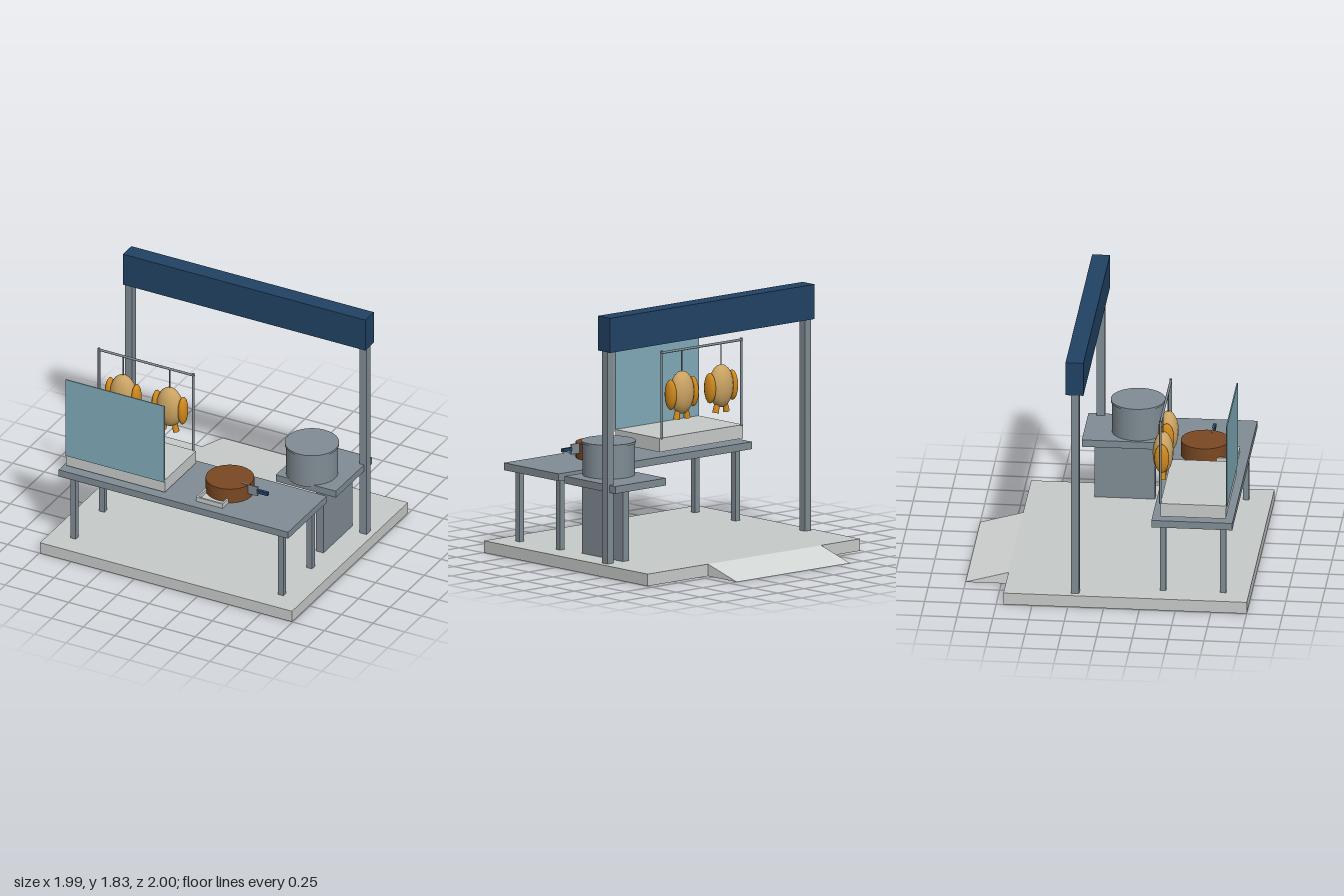
import * as THREE from 'three';

function material(name, color, side = THREE.FrontSide) {
  const m = new THREE.MeshStandardMaterial({ color, side });
  m.name = name;
  return m;
}

export function createModel() {
  const model = new THREE.Group();
  model.name = 'foodStall';
  const stone = material('pale stone', 0xc6cac8);
  const rampGrey = material('light ramp grey', 0xd2d6d4);
  const steel = material('steel', 0x808c94);
  const navy = material('navy', 0x214264);
  const glass = material('glass blue', 0x80aab8);
  const wood = material('brown wood', 0x7a4823);
  const roast = material('roast tan', 0xcba462);
  const orange = material('roast orange', 0xd18a1c);

  function add(name, geometry, mat, parent = model, x = 0, y = 0, z = 0) {
    const mesh = new THREE.Mesh(geometry, mat);
    mesh.name = name;
    mesh.position.set(x, y, z);
    parent.add(mesh);
    return mesh;
  }
  // Box given by its minimum and maximum on each axis
  function box(name, mat, x0, x1, y0, y1, z0, z1, parent = model) {
    return add(name, new THREE.BoxGeometry(x1 - x0, y1 - y0, z1 - z0), mat, parent,
      (x0 + x1) / 2, (y0 + y1) / 2, (z0 + z1) / 2);
  }
  function cylinder(name, mat, rTop, rBottom, x, y0, y1, z, sides, parent = model) {
    return add(name, new THREE.CylinderGeometry(rTop, rBottom, y1 - y0, sides), mat, parent, x, (y0 + y1) / 2, z);
  }

  // Platform with a wedge ramp at the back
  box('platform', stone, -0.995, 0.995, 0, 0.085, -0.7, 1);
  const wedge = new THREE.Shape();
  wedge.moveTo(0.7, 0);
  wedge.lineTo(1, 0);
  wedge.lineTo(0.7, 0.085);
  const rampGeometry = new THREE.ExtrudeGeometry(wedge, { depth: 1.06, bevelEnabled: false });
  rampGeometry.rotateY(Math.PI / 2); // profile now runs towards -z
  add('ramp', rampGeometry, rampGrey, model, -0.63, 0, 0);

  // Overhead sign beam on two posts
  for (const x of [-0.928, 0.922]) box('signPost', steel, x - 0.028, x + 0.028, 0.085, 1.59, -0.232, -0.175);
  box('signBeam', navy, -0.957, 0.957, 1.585, 1.83, -0.27, -0.145);

  // Front counter
  box('counterTop', steel, -0.907, 0.905, 0.588, 0.64, 0.325, 0.89);
  for (const x of [-0.82, 0.82]) {
    for (const z of [0.4, 0.82]) box('counterLeg', steel, x - 0.021, x + 0.021, 0.085, 0.59, z - 0.021, z + 0.021);
  }

  // Side counter on a slab support
  box('sideCounterTop', steel, 0.455, 0.93, 0.588, 0.64, -0.293, 0.235);
  box('sideSupport', steel, 0.75, 0.807, 0.085, 0.59, -0.235, 0.19);

  // Lidded stock pot
  const pot = new THREE.Group();
  pot.name = 'stockPot';
  model.add(pot);
  cylinder('potBody', steel, 0.183, 0.183, 0.657, 0.625, 0.868, 0.08, 32, pot);
  cylinder('potLid', steel, 0.19, 0.19, 0.657, 0.866, 0.881, 0.08, 32, pot);

  // Display case base, glass screen and hanging rack
  box('displayBase', stone, -0.875, -0.095, 0.66, 0.757, 0.385, 0.842);
  box('glassScreen', glass, -0.875, -0.095, 0.742, 1.355, 0.842, 0.85);
  const rack = new THREE.Group();
  rack.name = 'hangingRack';
  model.add(rack);
  for (const x of [-0.861, -0.116]) cylinder('rackPost', steel, 0.009, 0.009, x, 0.75, 1.374, 0.384, 10, rack);
  const bar = cylinder('rackBar', steel, 0.009, 0.009, -0.488, 0.98, 1.74, 0.384, 10, rack);
  bar.rotation.z = Math.PI / 2;

  // Two roast birds hanging from the bar
  for (const x of [-0.67, -0.302]) {
    const bird = new THREE.Group();
    bird.name = 'roastBird';
    bird.position.set(x, 1.058, 0.384);
    model.add(bird);
    add('birdBody', new THREE.SphereGeometry(1, 14, 10), roast, bird).scale.set(0.1, 0.152, 0.073);
    cylinder('hook', steel, 0.004, 0.004, 0, 0.13, 0.305, 0, 6, bird);
    for (const s of [-1, 1]) {
      const wing = add('wing', new THREE.SphereGeometry(1, 12, 8), orange, bird, s * 0.104, -0.005, 0);
      wing.scale.set(0.032, 0.108, 0.052);
      const leg = cylinder('leg', orange, 0.016, 0.024, s * 0.042, -0.187, -0.1, 0, 8, bird);
      leg.rotation.z = s * 0.2;
    }
  }

  // Chopping block
  cylinder('choppingBlock', wood, 0.17, 0.17, 0.281, 0.645, 0.755, 0.585, 24);

  // Cleaver
  const cleaver = new THREE.Group();
  cleaver.name = 'cleaver';
  model.add(cleaver);
  box('blade', steel, 0.395, 0.522, 0.688, 0.76, 0.616, 0.626, cleaver);
  box('cleaverHandle', navy, 0.515, 0.603, 0.714, 0.739, 0.61, 0.633, cleaver);

  // Shallow serving tray with raised edges
  const tray = new THREE.Group();
  tray.name = 'servingTray';
  model.add(tray);
  box('trayFloor', stone, 0.145, 0.35, 0.642, 0.654, 0.62, 0.82, tray);
  for (const x of [0.142, 0.338]) box('traySide', stone, x, x + 0.014, 0.645, 0.679, 0.615, 0.82, tray);
  for (const z of [0.615, 0.808]) box('trayEnd', stone, 0.142, 0.352, 0.645, 0.677, z, z + 0.014, tray);

  return model;
}
